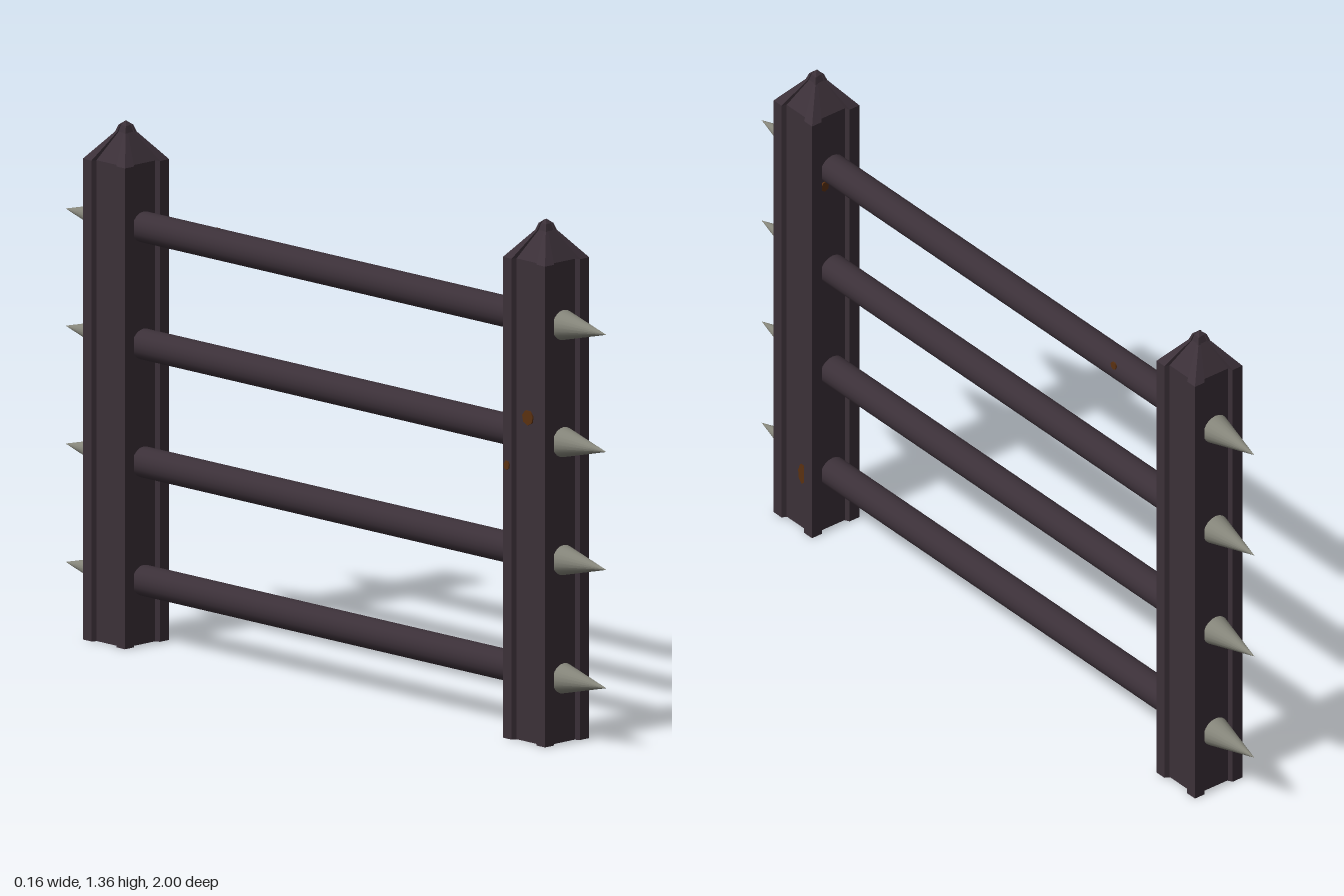
import * as THREE from 'three';

const POST_Z = 0.777, HALF = 0.078, INNER = 0.065;
const RAIL_HEIGHTS = [0.167, 0.477, 0.786, 1.093];

// Square post section with a shallow recessed panel on each side
function postSection() {
  const side = [[HALF, -HALF], [HALF, -0.046], [INNER, -0.041], [INNER, 0.041], [HALF, 0.046]];
  const ring = [];
  for (let k = 0; k < 4; k++) {
    for (const [p, t] of side) {
      let x = p, z = -t;
      for (let r = 0; r < k; r++) [x, z] = [z, -x];
      ring.push([x, z]);
    }
  }
  return ring;
}

// Loft the section upwards: straight shaft, pyramid roof, small blunt tip
function postGeometry() {
  const levels = [[0, 1], [1.26, 1], [1.332, 0.25], [1.35, 0.17], [1.36, 0.02]];
  const ring = postSection(), n = ring.length, pos = [];
  const point = (level, i) => {
    const [y, s] = levels[level], [x, z] = ring[i % n];
    return [x * s, y, z * s];
  };
  for (let i = 0; i < n; i++) {
    for (let l = 0; l < levels.length - 1; l++) {
      const a = point(l, i), b = point(l, i + 1), c = point(l + 1, i + 1), d = point(l + 1, i);
      pos.push(...a, ...b, ...c, ...a, ...c, ...d);
    }
    pos.push(0, 0, 0, ...point(0, i + 1), ...point(0, i));
    const top = levels.length - 1;
    pos.push(0, 1.36, 0, ...point(top, i), ...point(top, i + 1));
  }
  const geo = new THREE.BufferGeometry();
  geo.setAttribute('position', new THREE.Float32BufferAttribute(pos, 3));
  geo.computeVertexNormals();
  return geo;
}

export function createModel() {
  const group = new THREE.Group();
  const iron = new THREE.MeshStandardMaterial({ color: 0x3b3038 });
  iron.name = 'darkIron';
  const steel = new THREE.MeshStandardMaterial({ color: 0x85857a });
  steel.name = 'spikeSteel';
  const rust = new THREE.MeshStandardMaterial({ color: 0x5a3010 });
  rust.name = 'rust';

  const add = (name, geo, mat, x, y, z) => {
    const mesh = new THREE.Mesh(geo, mat);
    mesh.name = name;
    mesh.position.set(x, y, z);
    group.add(mesh);
    return mesh;
  };

  // Two posts, each with a column of outward spikes
  const postGeo = postGeometry();
  const spikeGeo = new THREE.ConeGeometry(0.04, 0.16, 20).rotateX(Math.PI / 2);
  for (const s of [1, -1]) {
    add(s > 0 ? 'frontPost' : 'backPost', postGeo, iron, 0, 0, s * POST_Z);
    for (const y of RAIL_HEIGHTS) {
      const spike = add('spike', spikeGeo, steel, 0, y, s * 0.92);
      if (s < 0) spike.rotation.y = Math.PI;
    }
  }

  // Round rails between the posts
  const railGeo = new THREE.CylinderGeometry(0.04, 0.04, 1.48, 20).rotateX(Math.PI / 2);
  for (const y of RAIL_HEIGHTS) add('rail', railGeo, iron, 0, y, 0);

  // Thin rust patches: width, height, position, turn about y
  const patches = [
    [0.03, 0.06, 0.067, 0.165, 0.752, Math.PI / 2],
    [0.022, 0.022, 0.037, 1.113, -0.475, Math.PI / 2],
    [0.04, 0.04, -0.067, 0.85, 0.78, -Math.PI / 2],
    [0.02, 0.025, -0.0795, 0.717, 0.715, -Math.PI / 2],
    [0.025, 0.03, 0.027, 1.05, 0.71, Math.PI],
  ];
  for (const [w, h, x, y, z, turn] of patches) {
    const geo = new THREE.CylinderGeometry(0.5, 0.5, 0.004, 7).rotateX(Math.PI / 2).scale(w, h, 1);
    add('rustPatch', geo, rust, x, y, z).rotation.y = turn;
  }
  return group;
}
